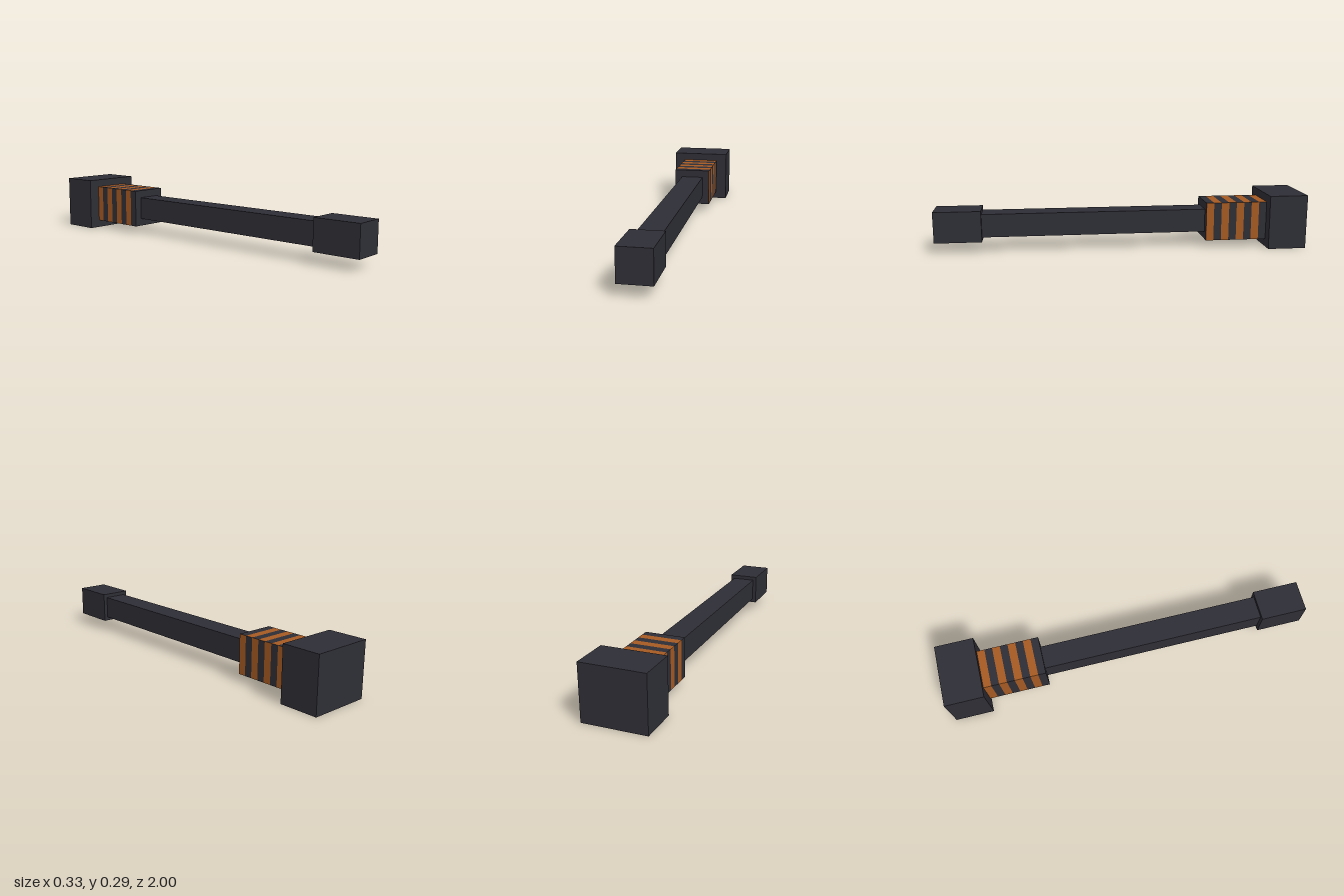
import * as THREE from 'three';

const charcoal = new THREE.MeshStandardMaterial({ color: 0x2e2e36 });
charcoal.name = 'charcoal';
const copper = new THREE.MeshStandardMaterial({ color: 0xa65a22 });
copper.name = 'copper';

const AXIS_Y = 0.146; // height of the handle's centre line

// Square-section block running from z0 to z1
function block(name, width, height, z0, z1, material = charcoal) {
  const mesh = new THREE.Mesh(new THREE.BoxGeometry(width, height, z1 - z0), material);
  mesh.position.set(0, AXIS_Y, (z0 + z1) / 2);
  mesh.name = name;
  return mesh;
}

export function createModel() {
  const model = new THREE.Group();
  model.name = 'hammer';

  model.add(
    block('head', 0.333, 0.292, -1, -0.792),
    block('shaft', 0.125, 0.125, -0.458, 0.75),
    block('pommel', 0.167, 0.167, 0.75, 1),
  );

  // Wrapped collar: bands alternate, and step by one between top/left and right/bottom
  const collar = new THREE.Group();
  collar.name = 'collar';
  const bands = 8, start = -0.792, step = 0.334 / bands;
  for (let i = 0; i < bands; i++) {
    const upper = i % 2 ? charcoal : copper;
    const lower = i % 2 ? copper : charcoal;
    // faces: +x, -x, +y, -y, +z, -z
    const faces = [lower, upper, upper, lower, charcoal, charcoal];
    collar.add(block(`collarBand${i + 1}`, 0.208, 0.208, start + i * step, start + (i + 1) * step, faces));
  }
  model.add(collar);
  return model;
}
